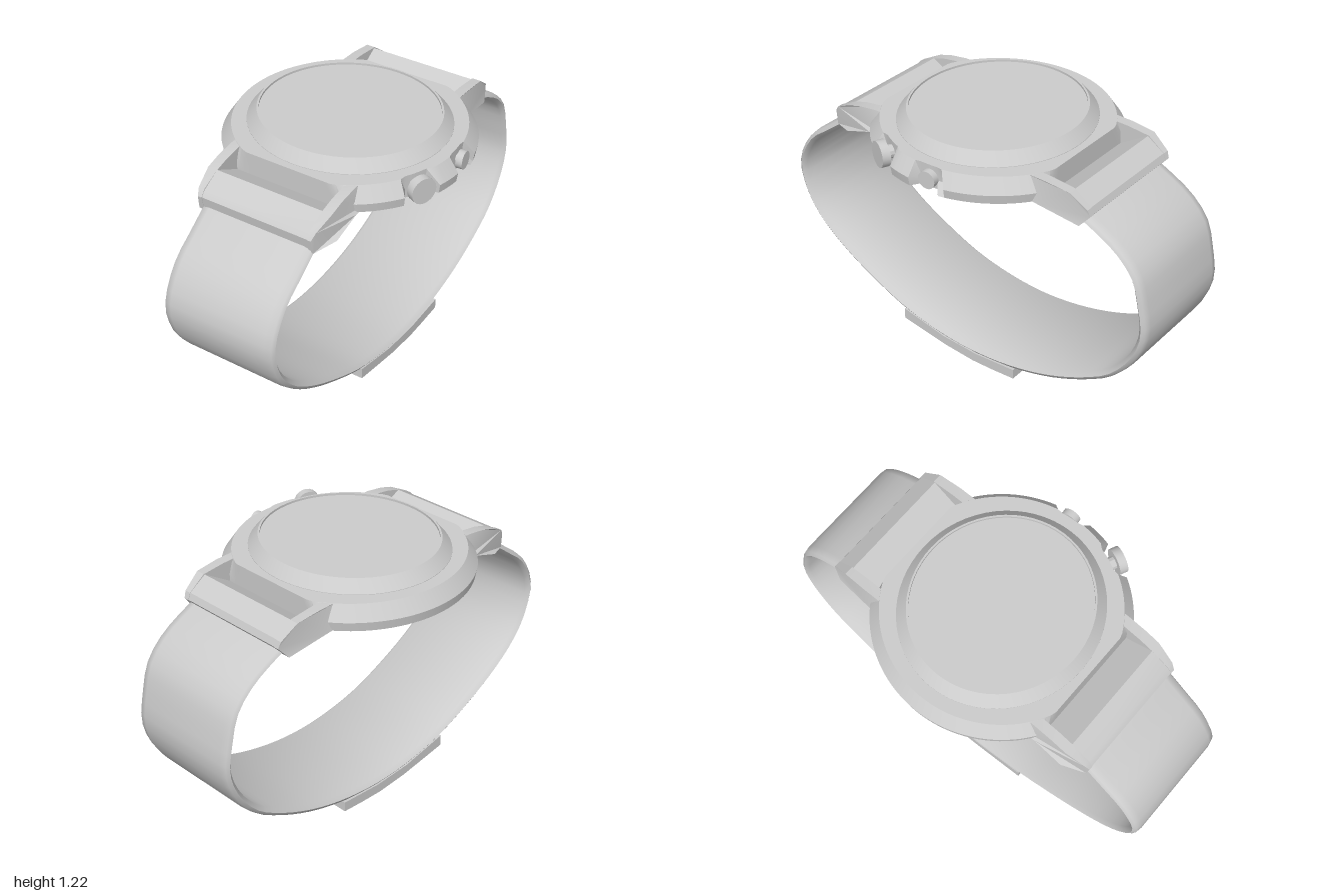
import * as THREE from 'three';
import { toCreasedNormals } from 'three/addons/utils/BufferGeometryUtils.js';

const material = new THREE.MeshStandardMaterial({ color: 0xcccccc });
const v2 = (pts) => pts.map(([a, b]) => new THREE.Vector2(a, b));

function part(name, geometry, crease = 0.5) {
  const mesh = new THREE.Mesh(toCreasedNormals(geometry, crease), material);
  mesh.name = name;
  return mesh;
}

// Moves every vertex by a rule
function reshape(geometry, rule) {
  const p = geometry.attributes.position, v = new THREE.Vector3();
  for (let i = 0; i < p.count; i++) {
    rule(v.fromBufferAttribute(p, i));
    p.setXYZ(i, v.x, v.y, v.z);
  }
  return geometry;
}

// Extrudes a side profile of [z, y] points from x0 to x1
function sideProfile(pts, x0, x1) {
  const g = new THREE.ExtrudeGeometry(new THREE.Shape(v2(pts)), { depth: x1 - x0, bevelEnabled: false });
  return g.rotateY(-Math.PI / 2).translate(x1, 0, 0);
}

// Strap: a band section swept along a [z, y] path
function strapGeometry(path) {
  const curve = new THREE.CatmullRomCurve3(path.map(([z, y]) => new THREE.Vector3(0, y, z)), false, 'centripetal');
  const section = [[-0.282, 0.022], [-0.272, 0.006], [-0.24, 0], [0.24, 0], [0.272, 0.006], [0.282, 0.022],
    [0.262, 0.04], [-0.262, 0.04]];
  const n = section.length, steps = 60, pos = [], idx = [];
  for (let i = 0; i <= steps; i++) {
    const p = curve.getPointAt(i / steps), t = curve.getTangentAt(i / steps);
    for (const [x, d] of section) pos.push(x + 0.005, p.y - t.z * d, p.z + t.y * d);
  }
  for (let i = 0; i < steps; i++) {
    for (let j = 0; j < n; j++) {
      const a = i * n + j, b = i * n + (j + 1) % n;
      idx.push(a, a + n, b, b, a + n, b + n);
    }
  }
  // End caps
  const last = steps * n;
  for (let j = 1; j < n - 1; j++) idx.push(0, j, j + 1, last, last + j + 1, last + j);
  const g = new THREE.BufferGeometry();
  g.setAttribute('position', new THREE.Float32BufferAttribute(pos, 3));
  g.setIndex(idx);
  return g;
}

// Round push button pointing outwards at an angle (degrees) around the case
function button(name, degrees, radius, inner, outer) {
  const group = new THREE.Group();
  group.name = name;
  const along = (r, from, to, sides) =>
    new THREE.CylinderGeometry(r, r, to - from, sides).rotateZ(-Math.PI / 2).translate((from + to) / 2, 0, 0);
  group.add(part(name + 'Cap', along(radius, inner, outer, 20)));
  group.add(part(name + 'Stem', along(radius * 0.5, 0.46, inner + 0.005, 12)));
  group.position.y = 1.118;
  group.rotation.y = -THREE.MathUtils.degToRad(degrees);
  return group;
}

export function createModel() {
  const model = new THREE.Group();

  // Case: a disc cut straight at the strap ends, notched behind the buttons
  const disc = new THREE.LatheGeometry(
    v2([[0, 1.063], [0.555, 1.063], [0.562, 1.105], [0.517, 1.17], [0, 1.17]]), 120);
  model.add(part('case', reshape(disc, (v) => {
    const angle = THREE.MathUtils.radToDeg(Math.atan2(v.z, v.x));
    const limit = angle > 16 && angle < 33 ? 0.505 : angle > -12 && angle < 1 ? 0.51 : 1;
    const r = Math.hypot(v.x, v.z);
    if (r > limit) { v.x *= limit / r; v.z *= limit / r; }
    v.z = THREE.MathUtils.clamp(v.z, -0.468, 0.468);
  })));

  // Bezel with a raised rim, and the glass set just below it
  const bezel = new THREE.LatheGeometry(
    v2([[0.459, 1.165], [0.459, 1.172], [0.413, 1.225], [0.404, 1.225], [0.404, 1.205]]), 64);
  model.add(part('bezel', bezel.scale(1, 1, 0.945)));
  const glass = new THREE.CircleGeometry(0.405, 64).rotateX(-Math.PI / 2);
  model.add(part('glass', glass.scale(1, 1, 0.945).translate(0, 1.215, 0)));

  // Lugs, narrowing towards their tips and tops
  const lugProfiles = {
    front: [[0.35, 1.17], [0.44, 1.168], [0.53, 1.155], [0.6, 1.135], [0.69, 1.09], [0.712, 1.06],
      [0.702, 0.995], [0.6, 1.015], [0.46, 1.06], [0.35, 1.065]],
    back: [[-0.35, 1.17], [-0.5, 1.168], [-0.61, 1.158], [-0.69, 1.1], [-0.702, 1.07],
      [-0.66, 1.02], [-0.45, 1.063], [-0.35, 1.065]],
  };
  for (const [end, profile] of Object.entries(lugProfiles)) {
    for (const side of [-1, 1]) {
      const g = side > 0 ? sideProfile(profile, 0.265, 0.335) : sideProfile(profile, -0.335, -0.265);
      reshape(g, (v) => {
        if (Math.abs(v.x) < 0.3) return;
        const tip = Math.max(0, Math.abs(v.z) - 0.6) * 0.45;
        v.x = side * ((v.y > 1.11 ? 0.312 : 0.335) - tip);
      });
      model.add(part(end + (side > 0 ? 'Left' : 'Right') + 'Lug', g));
    }
  }

  // Strap end pieces, sloping down to the case between the lugs
  model.add(part('frontStrapEnd', sideProfile(
    [[0.462, 1.063], [0.6, 1.135], [0.69, 1.085], [0.71, 1.06], [0.7, 0.997], [0.61, 1.015]], -0.27, 0.27)));
  model.add(part('backStrapEnd', sideProfile(
    [[-0.462, 1.065], [-0.605, 1.155], [-0.688, 1.1], [-0.7, 1.07], [-0.66, 1.02], [-0.6, 1.03]], -0.27, 0.27)));

  // Strap loop
  model.add(part('strap', strapGeometry([
    [0.67, 1.04], [0.73, 0.995], [0.81, 0.935], [0.9, 0.865], [0.975, 0.75], [0.997, 0.66], [0.985, 0.58],
    [0.945, 0.48], [0.86, 0.375], [0.72, 0.27], [0.52, 0.165], [0.33, 0.09], [0.1, 0.045],
    [-0.1, 0.038], [-0.32, 0.065], [-0.53, 0.125], [-0.72, 0.215], [-0.85, 0.305], [-0.955, 0.45],
    [-0.995, 0.59], [-0.975, 0.73], [-0.935, 0.865], [-0.85, 0.96], [-0.74, 1.025], [-0.64, 1.07],
  ]), 0.9));

  // Clasp plate under the wrist
  model.add(part('clasp', sideProfile(
    [[0.34, 0.05], [0.22, 0.032], [0.08, 0.012], [-0.08, 0.002], [-0.2, 0.008], [-0.317, 0.018],
      [-0.317, 0.068], [-0.1, 0.05], [0.1, 0.058], [0.34, 0.105]], -0.28, 0.29)));

  // Crown and small button on the model's left edge
  model.add(button('crown', 24.5, 0.06, 0.535, 0.573));
  model.add(button('smallButton', -6, 0.041, 0.52, 0.55));

  return model;
}
